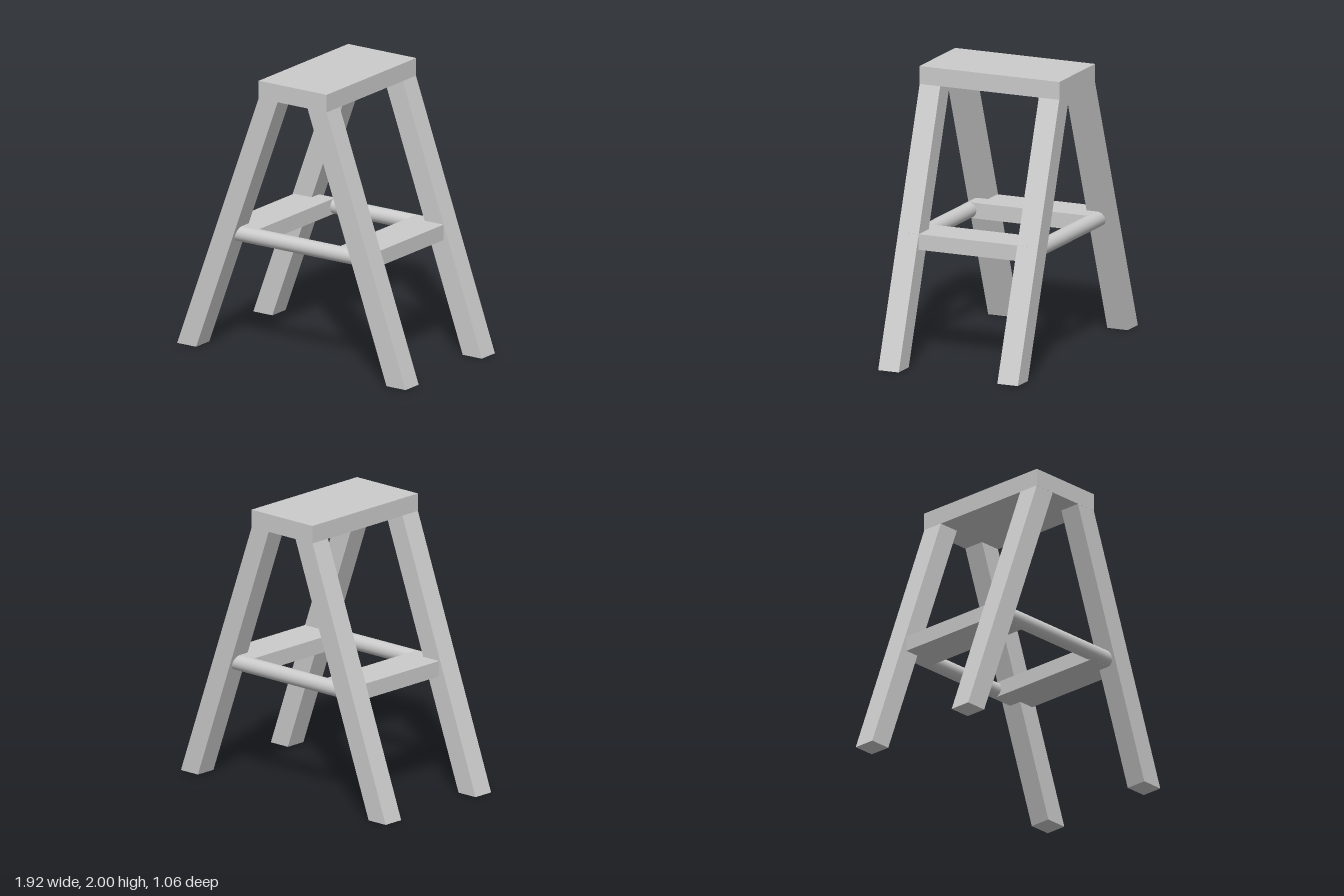
import * as THREE from 'three';

export function createModel() {
  const group = new THREE.Group();
  const mat = new THREE.MeshStandardMaterial({ color: 0xcccccc });

  const add = (name, geometry, x, y, z) => {
    const mesh = new THREE.Mesh(geometry, mat);
    mesh.name = name;
    mesh.position.set(x, y, z);
    group.add(mesh);
    return mesh;
  };

  // Flat top platform
  add('topPlatform', new THREE.BoxGeometry(0.572, 0.126, 1.062), 0.01, 1.937, 0);

  // Splayed legs: an upright box sheared outwards, with level ends
  const legHeight = 1.875;
  const legGeometry = (topX, bottomX) => {
    const g = new THREE.BoxGeometry(0.16, legHeight, 0.156);
    const p = g.attributes.position;
    for (let i = 0; i < p.count; i++) {
      p.setX(i, p.getX(i) + (p.getY(i) > 0 ? topX : bottomX));
    }
    g.computeVertexNormals();
    return g;
  };

  for (const [end, z] of [['front', 0.452], ['back', -0.452]]) {
    add(end + 'LeftLeg', legGeometry(0.214, 0.878), 0, legHeight / 2, z);
    add(end + 'RightLeg', legGeometry(-0.196, -0.882), 0, legHeight / 2, z);
    // Round rail joining the two legs at this end
    const rail = add(end + 'Rail', new THREE.CylinderGeometry(0.055, 0.055, 1.1, 32), 0, 0.85, z);
    rail.rotation.z = Math.PI / 2;
  }

  // Steps let into the legs on both sides
  const stepGeometry = new THREE.BoxGeometry(0.288, 0.11, 0.91);
  add('leftStep', stepGeometry, 0.494, 0.85, 0);
  add('rightStep', stepGeometry, -0.476, 0.85, 0);

  return group;
}
